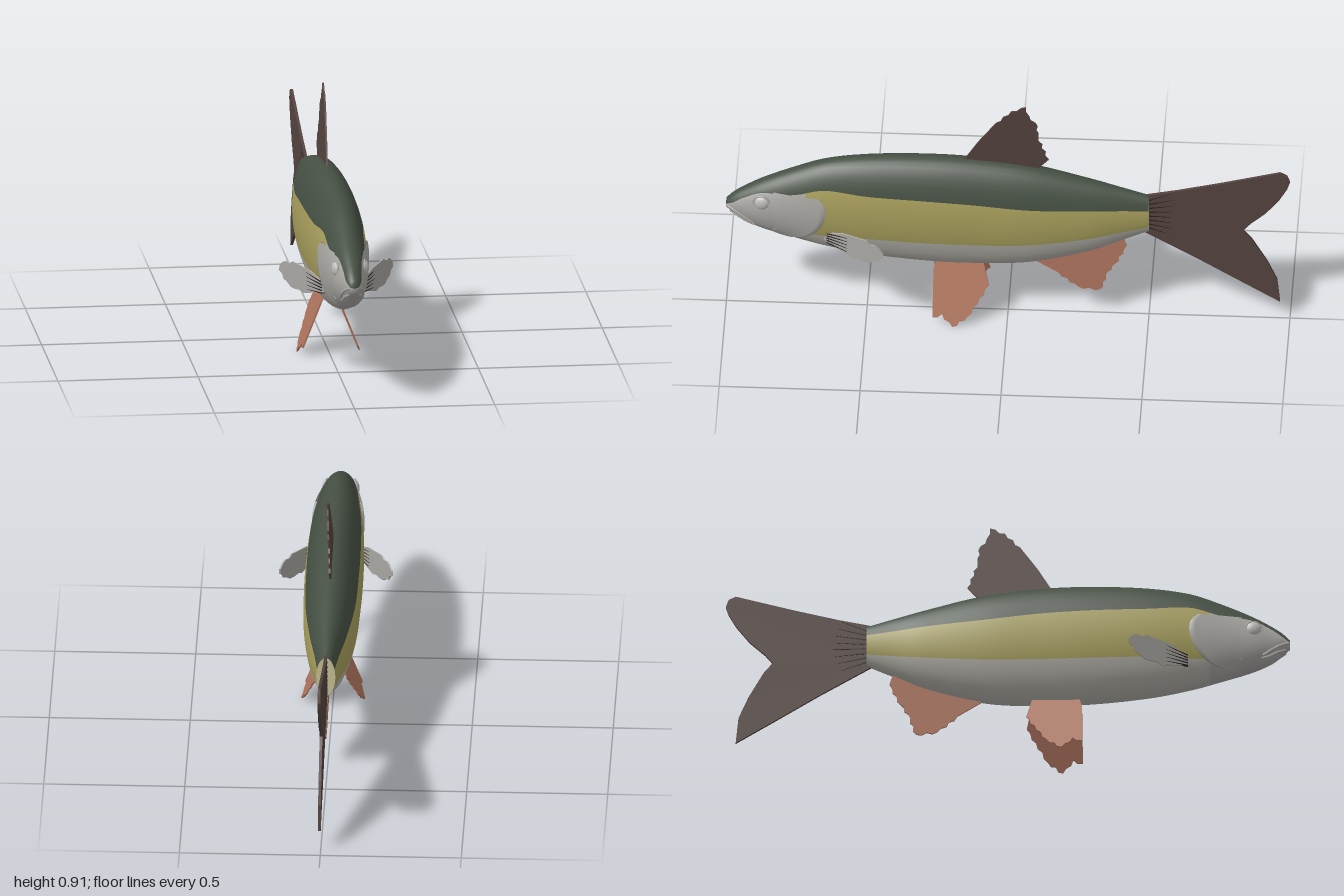
import * as THREE from 'three';

const mat = (name, color, side = THREE.FrontSide) => {
  const m = new THREE.MeshStandardMaterial({ color, side });
  m.name = name;
  return m;
};

// Body stations: z, top, bottom, half width, upper colour line, lower colour line
const STATIONS = [
  [1.0, 0.462, 0.428, 0.016, 0.449, 0.437],
  [0.975, 0.487, 0.405, 0.03, 0.464, 0.425],
  [0.94, 0.512, 0.376, 0.042, 0.489, 0.405],
  [0.87, 0.552, 0.343, 0.06, 0.522, 0.38],
  [0.76, 0.602, 0.308, 0.074, 0.532, 0.365],
  [0.65, 0.643, 0.276, 0.085, 0.562, 0.363],
  [0.5, 0.667, 0.246, 0.097, 0.553, 0.365],
  [0.3, 0.676, 0.225, 0.103, 0.546, 0.36],
  [0.12, 0.67, 0.22, 0.102, 0.535, 0.357],
  [-0.08, 0.645, 0.232, 0.095, 0.515, 0.36],
  [-0.29, 0.592, 0.286, 0.071, 0.502, 0.38],
  [-0.4, 0.56, 0.334, 0.05, 0.493, 0.396],
  [-0.5, 0.53, 0.378, 0.034, 0.485, 0.412],
];

// Smooth interpolation of a station column at z
function at(z, col) {
  const S = STATIONS, n = S.length;
  let i = 0;
  while (i < n - 2 && z < S[i + 1][0]) i++;
  const slope = (k) => {
    const a = S[Math.max(k - 1, 0)], b = S[Math.min(k + 1, n - 1)];
    return (b[col] - a[col]) / (b[0] - a[0]);
  };
  const h = S[i + 1][0] - S[i][0], t = (z - S[i][0]) / h, t2 = t * t, t3 = t2 * t;
  return (2 * t3 - 3 * t2 + 1) * S[i][col] + (t3 - 2 * t2 + t) * h * slope(i)
    + (3 * t2 - 2 * t3) * S[i + 1][col] + (t3 - t2) * h * slope(i + 1);
}

function section(z) {
  const top = at(z, 1), bot = at(z, 2);
  return { cy: (top + bot) / 2, ry: (top - bot) / 2, w: at(z, 3) };
}

// Point on the left flank at a given z and y, pushed out by d
function onFlank(z, y, d = 0) {
  const { cy, ry, w } = section(z);
  const s = THREE.MathUtils.clamp((y - cy) / ry, -0.99, 0.99);
  return new THREE.Vector3(w * Math.sqrt(1 - s * s) + d, y, z);
}

// Body skin: rings split into belly, flank and back bands
function bodyGeometry() {
  const ROWS = 72, SIDE = 24, RING = SIDE * 2, pos = [], sets = [[], [], [], []];
  const zs = [];
  for (let i = 0; i <= ROWS; i++) {
    const z = 1 - 1.5 * Math.pow(i / ROWS, 1.25);
    zs.push(z);
    const { cy, ry, w } = section(z);
    const lo = Math.asin((at(z, 5) - cy) / ry), up = Math.asin((at(z, 4) - cy) / ry);
    const angle = (k) => k <= 8 ? THREE.MathUtils.lerp(-Math.PI / 2, lo, k / 8)
      : k <= 16 ? THREE.MathUtils.lerp(lo, up, (k - 8) / 8)
        : THREE.MathUtils.lerp(up, Math.PI / 2, (k - 16) / 8);
    for (let j = 0; j < RING; j++) {
      const a = angle(j <= SIDE ? j : RING - j);
      pos.push((j <= SIDE ? 1 : -1) * w * Math.cos(a), cy + ry * Math.sin(a), z);
    }
  }
  const band = (j, z) => {
    const k = j < SIDE ? j : RING - 1 - j;
    if (k >= 16) return 0;
    if (z > 0.72) return 3;
    return k >= 8 ? 1 : 2;
  };
  for (let i = 0; i < ROWS; i++) for (let j = 0; j < RING; j++) {
    const n = (j + 1) % RING, a = i * RING + j, b = i * RING + n;
    sets[band(j, zs[i])].push(a, a + RING, b, b, a + RING, b + RING);
  }
  // rounded snout tip
  const tip = pos.length / 3;
  pos.push(0, 0.444, 1.0);
  for (let j = 0; j < RING; j++) sets[band(j, 1)].push(tip, j, (j + 1) % RING);
  const g = new THREE.BufferGeometry();
  g.setAttribute('position', new THREE.Float32BufferAttribute(pos, 3));
  g.setIndex(sets.flat());
  let start = 0;
  sets.forEach((s, m) => { g.addGroup(start, s.length, m); start += s.length; });
  g.computeVertexNormals();
  return g;
}

// Gill cover: a curved plate over the cheek with a raised rear edge
function gillCoverGeometry() {
  const rear = new THREE.SplineCurve([[0.675, 0.532], [0.648, 0.5], [0.647, 0.45], [0.668, 0.4],
    [0.71, 0.355], [0.77, 0.333]].map((p) => new THREE.Vector2(...p)));
  const g = new THREE.PlaneGeometry(1, 1, 10, 20), p = g.attributes.position;
  for (let i = 0; i < p.count; i++) {
    const s = p.getX(i) + 0.5, e = rear.getPoint(0.5 - p.getY(i));
    const z = THREE.MathUtils.lerp(0.83, e.x, Math.min(1, s / 0.9));
    const v = onFlank(z, e.y, s > 0.95 ? -0.004 : 0.001 + 0.008 * s);
    p.setXYZ(i, v.x, v.y, v.z);
  }
  g.computeVertexNormals();
  return g;
}

// Flat fin from a (z, y) outline; edges from..to are frayed; lean(y, z) gives x
function finGeometry(outline, from, to, lean, thick = 0.006) {
  const pts = [];
  outline.forEach(([z, y], i) => {
    pts.push(new THREE.Vector2(-z, y));
    if (i < from || i >= to) return;
    const [z2, y2] = outline[i + 1], len = Math.hypot(z2 - z, y2 - y);
    const n = Math.max(2, Math.round(len / 0.018));
    for (let k = 1; k < n; k++) {
      const t = k / n, d = k % 2 ? 0.006 : -0.002;
      pts.push(new THREE.Vector2(-(z + (z2 - z) * t) + d * (y2 - y) / len, y + (y2 - y) * t + d * (z2 - z) / len));
    }
  });
  const g = new THREE.ExtrudeGeometry(new THREE.Shape(pts), { depth: thick, bevelEnabled: false });
  g.translate(0, 0, -thick / 2).rotateY(Math.PI / 2);
  const p = g.attributes.position;
  for (let i = 0; i < p.count; i++) p.setX(i, p.getX(i) + lean(p.getY(i), p.getZ(i)));
  g.computeVertexNormals();
  return g;
}

export function createModel() {
  const back = mat('dark green back', 0x465044), flank = mat('olive yellow flank', 0xa89f5c);
  const belly = mat('pale belly', 0xb4b1a9), head = mat('grey head', 0xaaa8a4, THREE.DoubleSide);
  const darkFin = mat('dark brown fin', 0x55443f), redFin = mat('red brown fin', 0xb0755e);
  const paleFin = mat('pale grey fin', 0xa9a7a2), ray = mat('dark ray', 0x2b2422);
  const eyeMat = mat('eye white', 0xc0beb9), stump = mat('cream tail root', 0xc8c298);
  const model = new THREE.Group();
  const add = (name, geo, material, parent = model) => {
    const m = new THREE.Mesh(geo, material);
    m.name = name;
    parent.add(m);
    return m;
  };

  add('body', bodyGeometry(), [back, flank, belly, head]);
  const root = add('tailRoot', new THREE.CircleGeometry(1, 32).rotateY(Math.PI), stump);
  root.scale.set(0.034, 0.076, 1);
  root.position.set(0, 0.454, -0.5);

  // Middle fins
  add('tailFin', finGeometry([[-0.47, 0.53], [-0.6, 0.558], [-0.75, 0.596], [-0.9, 0.637], [-0.965, 0.655],
    [-0.99, 0.642], [-1, 0.615], [-0.99, 0.585], [-0.963, 0.537], [-0.915, 0.475], [-0.86, 0.425], [-0.834, 0.393],
    [-0.866, 0.355], [-0.92, 0.26], [-0.955, 0.18], [-0.965, 0.083], [-0.85, 0.153], [-0.663, 0.268], [-0.47, 0.38]],
  0, 0, (y, z) => Math.max(0, -z - 0.5) * 0.01, 0.01), darkFin);
  add('dorsalFin', finGeometry([[0.1, 0.63], [0.155, 0.67], [0.107, 0.75], [0.043, 0.84], [-0.01, 0.895],
    [-0.064, 0.917], [-0.075, 0.875], [-0.105, 0.83], [-0.107, 0.78], [-0.144, 0.68], [-0.09, 0.62]],
  3, 9, (y) => (y - 0.67) * 0.045), darkFin);
  add('analFin', finGeometry([[-0.18, 0.28], [-0.09, 0.235], [-0.18, 0.18], [-0.25, 0.122], [-0.326, 0.113],
    [-0.353, 0.19], [-0.38, 0.227], [-0.42, 0.305], [-0.41, 0.335], [-0.38, 0.36]],
  2, 7, (y) => (0.3 - y) * 0.04), redFin);

  // Thin fan of rays lying on a fin
  const rays = (name, n, shape, lean, parent) => {
    for (let i = 0; i < n; i++) add(name, finGeometry(shape(i / (n - 1)), 0, 0, lean, 0.012), ray, parent);
  };
  rays('tailRay', 8, (t) => {
    const y = 0.395 + 0.115 * t, end = 0.36 + 0.19 * t;
    return [[-0.49, y + 0.003], [-0.59 - 0.03 * Math.sin(t * Math.PI), end], [-0.49, y - 0.003]];
  }, () => 0);

  // Paired parts; the right side is the mirrored left
  const pectoralLean = (y, z) => 0.074 + (0.635 - z) * 0.62;
  for (const side of [1, -1]) {
    const half = new THREE.Group();
    half.name = side > 0 ? 'leftSide' : 'rightSide';
    half.scale.x = side;
    model.add(half);

    add('gillCover', gillCoverGeometry(), head, half);
    add('pectoralFin', finGeometry([[0.65, 0.34], [0.567, 0.318], [0.51, 0.318], [0.47, 0.335], [0.432, 0.368],
      [0.445, 0.4], [0.513, 0.412], [0.58, 0.402], [0.65, 0.37]], 1, 6, pectoralLean), paleFin, half);
    rays('pectoralRay', 5, (t) => {
      const y = 0.335 + 0.04 * t;
      return [[0.64, y + 0.002], [0.565, 0.332 + 0.06 * t], [0.64, y - 0.002]];
    }, pectoralLean, half);
    add('pelvicFin', finGeometry([[0.25, 0.25], [0.263, 0.2], [0.264, 0.035], [0.23, 0.047], [0.193, 0.004],
      [0.14, 0.04], [0.098, 0.105], [0.066, 0.15], [0.086, 0.23], [0.1, 0.25]],
    2, 7, (y) => 0.023 + (0.225 - y) * 0.395), redFin, half);

    // Eye with a raised socket rim
    const eye = new THREE.Group();
    eye.name = 'eye';
    eye.position.copy(onFlank(0.872, 0.485, -0.004));
    eye.rotation.y = Math.PI / 2 - 0.18;
    half.add(eye);
    add('eyeball', new THREE.SphereGeometry(0.027, 24, 16).scale(1, 1, 0.55), eyeMat, eye);
    add('eyeRim', new THREE.TorusGeometry(0.029, 0.004, 8, 28), head, eye);

    // Lips and cheek folds follow the surface of the head
    const fold = (name, pts, r) => add(name, new THREE.TubeGeometry(
      new THREE.CatmullRomCurve3(pts.map(([z, y]) => onFlank(z, y, -0.001))), 20, r, 8), head, half);
    fold('upperLip', [[0.997, 0.445], [0.97, 0.432], [0.935, 0.41], [0.905, 0.388]], 0.006);
    fold('lowerLip', [[0.985, 0.42], [0.955, 0.405], [0.925, 0.388], [0.9, 0.378]], 0.005);
    fold('cheekFold', [[0.8, 0.51], [0.775, 0.46], [0.785, 0.4], [0.83, 0.365]], 0.004);
  }
  return model;
}
